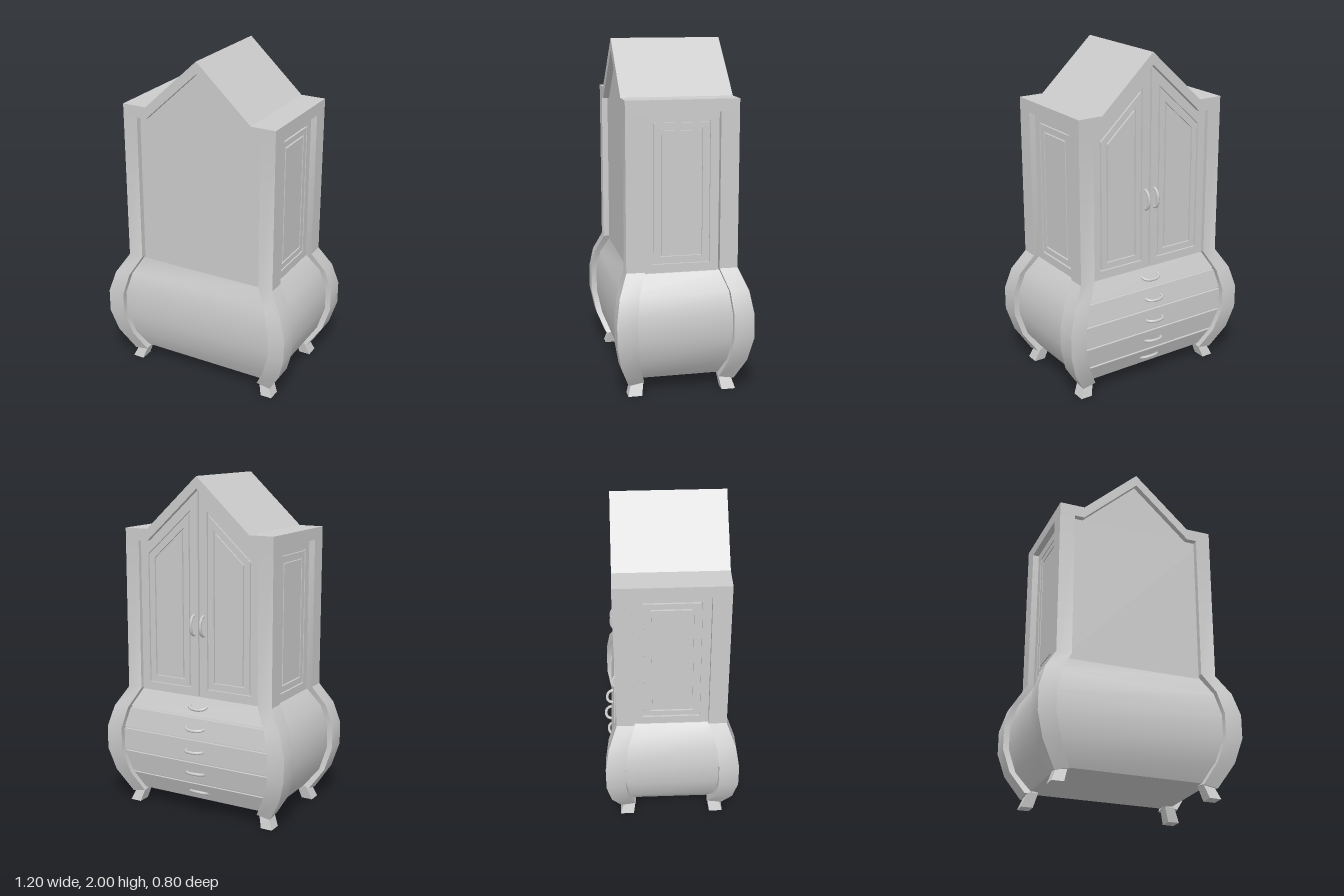
import * as THREE from 'three';
import { toCreasedNormals } from 'three/addons/utils/BufferGeometryUtils.js';

const material = new THREE.MeshStandardMaterial({ color: 0xcccccc });

// Bombe profile of the corner posts: height, outer x, inner x, outer z, inner z
const PROFILE = [
  [0.075, 0.475, 0.39, 0.31, 0.22],
  [0.2, 0.56, 0.455, 0.365, 0.255],
  [0.34, 0.6, 0.497, 0.392, 0.275],
  [0.48, 0.6, 0.497, 0.392, 0.275],
  [0.61, 0.56, 0.462, 0.37, 0.26],
  [0.73, 0.485, 0.395, 0.32, 0.215],
];
const RECESS = 0.035;

function add(parent, name, geometry) {
  const mesh = new THREE.Mesh(geometry, material);
  mesh.name = name;
  parent.add(mesh);
  return mesh;
}

// Stack of four-cornered sections; each row lists corners front-left, front-right, back-right, back-left
function loft(rows, crease = 0.5) {
  const pos = rows.flat(2);
  const index = [];
  for (let r = 0; r < rows.length - 1; r++) {
    for (let k = 0; k < 4; k++) {
      const a = r * 4 + k, b = r * 4 + (k + 1) % 4;
      index.push(a, b, b + 4, a, b + 4, a + 4);
    }
  }
  const t = (rows.length - 1) * 4;
  index.push(0, 2, 1, 0, 3, 2, t, t + 1, t + 2, t, t + 2, t + 3);
  const g = new THREE.BufferGeometry();
  g.setAttribute('position', new THREE.Float32BufferAttribute(pos, 3));
  g.setIndex(index);
  return toCreasedNormals(g, crease);
}

const section = (y, x0, x1, z0, z1) => [[x0, y, z1], [x1, y, z1], [x1, y, z0], [x0, y, z0]];

// Section given by two distances on the chosen side of each axis
function cornerSection(y, sx, sz, xa, xb, za, zb) {
  return section(y, Math.min(sx * xa, sx * xb), Math.max(sx * xa, sx * xb),
    Math.min(sz * za, sz * zb), Math.max(sz * za, sz * zb));
}

function extrude(points, depth, z, hole) {
  const shape = new THREE.Shape(points.map(p => new THREE.Vector2(...p)));
  if (hole) shape.holes.push(new THREE.Path(hole.map(p => new THREE.Vector2(...p))));
  return new THREE.ExtrudeGeometry(shape, { depth, bevelEnabled: false }).translate(0, 0, z);
}

// Moves every edge of a counter-clockwise outline inwards by d
function inset(points, d) {
  const n = points.length;
  const normal = (p, q) => {
    const l = Math.hypot(q[0] - p[0], q[1] - p[1]);
    return [-(q[1] - p[1]) / l, (q[0] - p[0]) / l];
  };
  return points.map((p, i) => {
    const a = normal(points[(i + n - 1) % n], p), b = normal(p, points[(i + 1) % n]);
    const k = d / (1 + a[0] * b[0] + a[1] * b[1]);
    return [p[0] + (a[0] + b[0]) * k, p[1] + (a[1] + b[1]) * k];
  });
}

// Panelled leaf facing +z: backing, stiles, moulding ring and raised field, parted by grooves
function panelledLeaf(name, outline, field, thickness) {
  const leaf = new THREE.Group();
  leaf.name = name;
  add(leaf, 'backing', extrude(outline, thickness - 0.012, 0));
  add(leaf, 'stiles', extrude(outline, thickness, 0, inset(field, 0.05)));
  add(leaf, 'moulding', extrude(inset(field, 0.06), thickness, 0, inset(field, 0.094)));
  add(leaf, 'field', extrude(inset(field, 0.104), thickness, 0));
  return leaf;
}

// Bow handle along x, bulging towards +z
function bowHandle(name) {
  const curve = new THREE.CatmullRomCurve3([
    [-0.058, 0, -0.012], [-0.05, 0, 0.012], [-0.025, 0, 0.028],
    [0.025, 0, 0.028], [0.05, 0, 0.012], [0.058, 0, -0.012],
  ].map(p => new THREE.Vector3(...p)));
  return new THREE.Mesh(new THREE.TubeGeometry(curve, 20, 0.009, 8), material).translateZ(0) && Object.assign(
    new THREE.Mesh(new THREE.TubeGeometry(curve, 20, 0.009, 8), material), { name });
}

export function createModel() {
  const model = new THREE.Group();
  model.name = 'cabinet';

  // Corner posts and splayed feet
  for (const sx of [-1, 1]) for (const sz of [-1, 1]) {
    const rows = PROFILE.map(([y, ox, ix, oz, iz]) => cornerSection(y, sx, sz, ox, ix, oz, iz));
    rows.push(cornerSection(1.62, sx, sz, 0.485, 0.395, 0.32, 0.215));
    // The underside of each post dips towards its outer corner
    for (const c of rows[0]) {
      c[1] += (Math.abs(c[0]) > 0.43 ? -0.0075 : 0.0075) + (Math.abs(c[2]) > 0.26 ? -0.0075 : 0.0075);
    }
    add(model, 'cornerPost', loft(rows));
    add(model, 'foot', loft([
      cornerSection(0, sx, sz, 0.42, 0.49, 0.235, 0.315),
      cornerSection(0.085, sx, sz, 0.395, 0.455, 0.22, 0.29),
    ]));
  }

  // Carcass between the posts, swelling below and straight above
  const body = PROFILE.map(([y, ox, , oz], i) => {
    const x = ox - RECESS, z = oz - RECESS;
    return section(i === 0 ? 0.09 : i === 5 ? 0.71 : y, -x, x, -z + 0.012, z);
  });
  body.push(section(0.715, -0.435, 0.435, -0.275, 0.285));
  body.push(section(1.62, -0.435, 0.435, -0.275, 0.285));
  add(model, 'carcass', loft(body, 0.6));

  // Gable infill and pitched roof with flat shoulders
  add(model, 'gable', extrude([[-0.335, 1.62], [0.335, 1.62], [0, 1.93]], 0.56, -0.275));
  add(model, 'roof', extrude([
    [-0.485, 1.62], [-0.335, 1.62], [0, 1.93], [0.335, 1.62], [0.485, 1.62],
    [0.485, 1.69], [0.335, 1.69], [0, 2], [-0.335, 1.69], [-0.485, 1.69],
  ], 0.64, -0.32));

  // Side panels
  const side = [[-0.215, 0.712], [0.215, 0.712], [0.215, 1.62], [-0.215, 1.62]];
  for (const s of [-1, 1]) {
    const panel = panelledLeaf('sidePanel', side, side, 0.014);
    panel.rotation.y = s * Math.PI / 2;
    panel.position.x = s * 0.434;
    model.add(panel);
  }

  // Pair of doors with sloping tops, and their upright handles
  const outline = [[0.005, 0.725], [0.392, 0.725], [0.392, 1.617], [0.335, 1.617], [0.005, 1.92]];
  const field = [[0.005, 0.725], [0.392, 0.725], [0.392, 1.565], [0.005, 1.92]];
  const mirror = pts => pts.map(([x, y]) => [-x, y]).reverse();
  for (const s of [-1, 1]) {
    const door = panelledLeaf('door', s > 0 ? outline : mirror(outline), s > 0 ? field : mirror(field), 0.026);
    door.rotation.y = Math.PI;
    door.position.z = -0.274;
    const handle = bowHandle('doorHandle');
    handle.rotation.z = Math.PI / 2;
    handle.position.set(s * 0.032, 1.15, 0.034);
    door.add(handle);
    model.add(door);
  }

  // Five drawers following the swell, each with a handle
  for (let i = 0; i < 5; i++) {
    const [lo, hi] = [PROFILE[i], PROFILE[i + 1]];
    const at = t => lo.map((v, k) => v + (hi[k] - v) * t);
    const row = t => {
      const [y, , ix, oz] = at(t);
      const z = -(oz - RECESS);
      return section(y, -ix - 0.004, ix + 0.004, z - 0.003, z + 0.03);
    };
    add(model, 'drawer', loft([row(i === 0 ? 0.12 : 0.05), row(0.95)]));
    const [y, , , z] = at(0.5);
    const handle = bowHandle('drawerHandle');
    handle.rotation.set(Math.atan2(hi[3] - lo[3], hi[0] - lo[0]), Math.PI, 0);
    handle.position.set(0, y, -(z - RECESS) - 0.008);
    model.add(handle);
  }
  return model;
}
